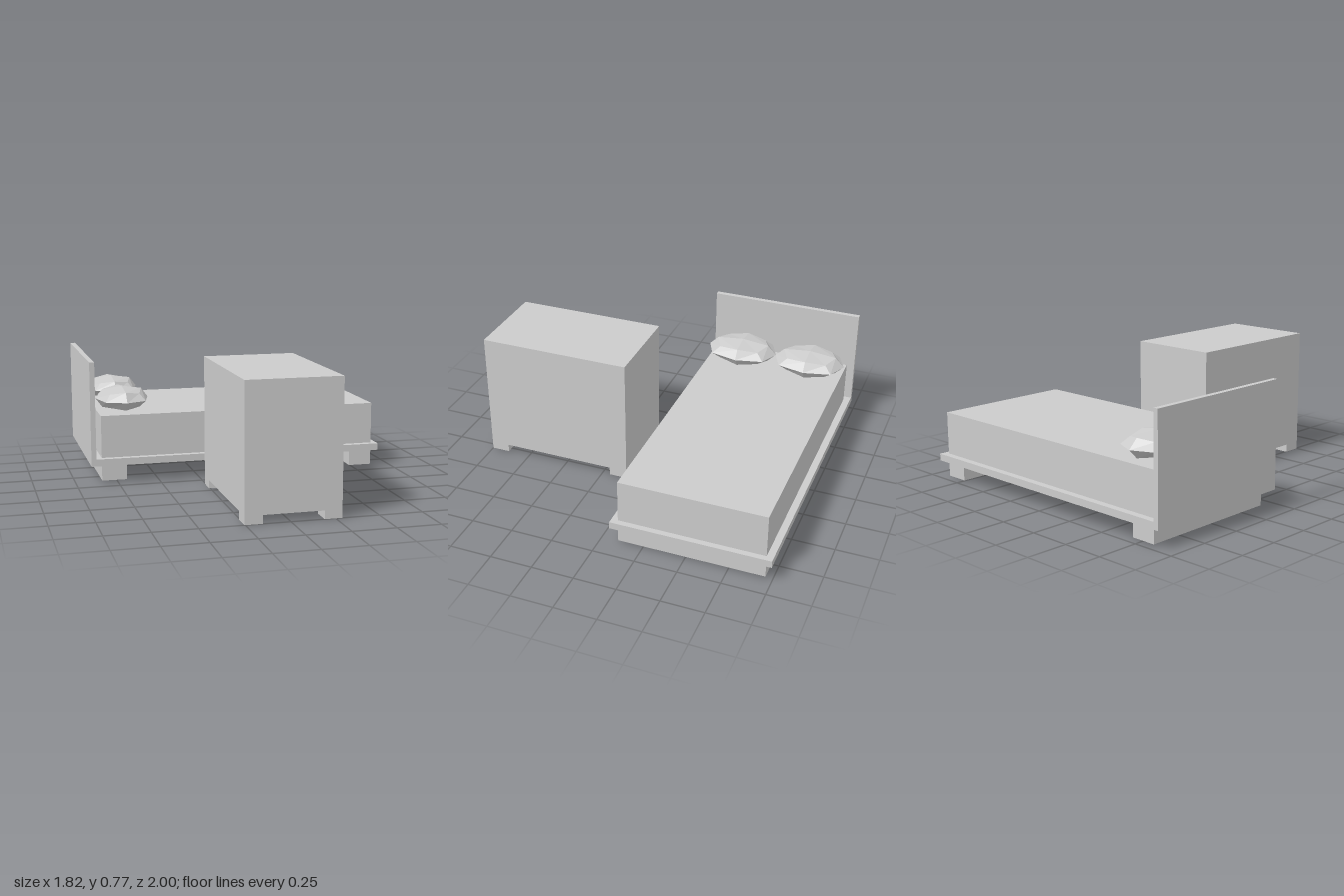
import * as THREE from 'three';

const material = new THREE.MeshStandardMaterial({ color: 0xcccccc, flatShading: true });

function add(parent, name, geometry) {
  const mesh = new THREE.Mesh(geometry, material);
  mesh.name = name;
  parent.add(mesh);
  return mesh;
}

// Box given by its limits on each axis
function block(parent, name, [x0, x1], [y0, y1], [z0, z1]) {
  const mesh = add(parent, name, new THREE.BoxGeometry(x1 - x0, y1 - y0, z1 - z0));
  mesh.position.set((x0 + x1) / 2, (y0 + y1) / 2, (z0 + z1) / 2);
  return mesh;
}

// Cube rounded by one subdivision step: edges pull in to 3/4, corners to 5/9
function pillowGeometry(rx, ry, rz) {
  const geometry = new THREE.BoxGeometry(2, 2, 2, 2, 2, 2);
  const pos = geometry.attributes.position;
  const v = new THREE.Vector3();
  const pull = [0, 1, 0.75, 5 / 9];
  for (let i = 0; i < pos.count; i++) {
    v.fromBufferAttribute(pos, i).round();
    v.multiplyScalar(pull[Math.abs(v.x) + Math.abs(v.y) + Math.abs(v.z)]);
    pos.setXYZ(i, v.x * rx, v.y * ry, v.z * rz);
  }
  geometry.computeVertexNormals();
  return geometry;
}

export function createModel() {
  const model = new THREE.Group();
  model.name = 'bedroomSet';

  // Bed
  const bed = new THREE.Group();
  bed.name = 'bed';
  model.add(bed);
  const mattressZ = [-0.96, -0.103];

  // Platform and headboard as one L-shaped profile, extruded across the bed
  const profile = new THREE.Shape([
    [-0.91, 0.108], [0.907, 0.108], [0.907, 0.15],
    [-0.88, 0.15], [-0.88, 0.735], [-0.91, 0.735],
  ].map(([x, y]) => new THREE.Vector2(x, y)));
  const frame = add(bed, 'bedFrame',
    new THREE.ExtrudeGeometry(profile, { depth: 0.935, bevelEnabled: false }));
  frame.position.z = -1;

  block(bed, 'mattress', [-0.843, 0.873], [0.15, 0.405], mattressZ);
  block(bed, 'headFoot', [-0.843, -0.693], [0.01, 0.108], mattressZ);
  block(bed, 'endFoot', [0.73, 0.873], [0.01, 0.108], mattressZ);

  // Pillows
  const pillow = pillowGeometry(0.161, 0.072, 0.22);
  for (const z of [-0.753, -0.315]) {
    add(bed, 'pillow', pillow).position.set(-0.683, 0.476, z);
  }

  // Cabinet on four short corner legs
  const cabinet = new THREE.Group();
  cabinet.name = 'cabinet';
  model.add(cabinet);
  block(cabinet, 'cabinetBody', [-0.256, 0.288], [0.048, 0.77], [0.093, 1]);
  for (const x of [[-0.256, -0.155], [0.188, 0.288]]) {
    for (const z of [[0.093, 0.202], [0.89, 1]]) {
      block(cabinet, 'cabinetLeg', x, [0, 0.048], z);
    }
  }
  return model;
}
